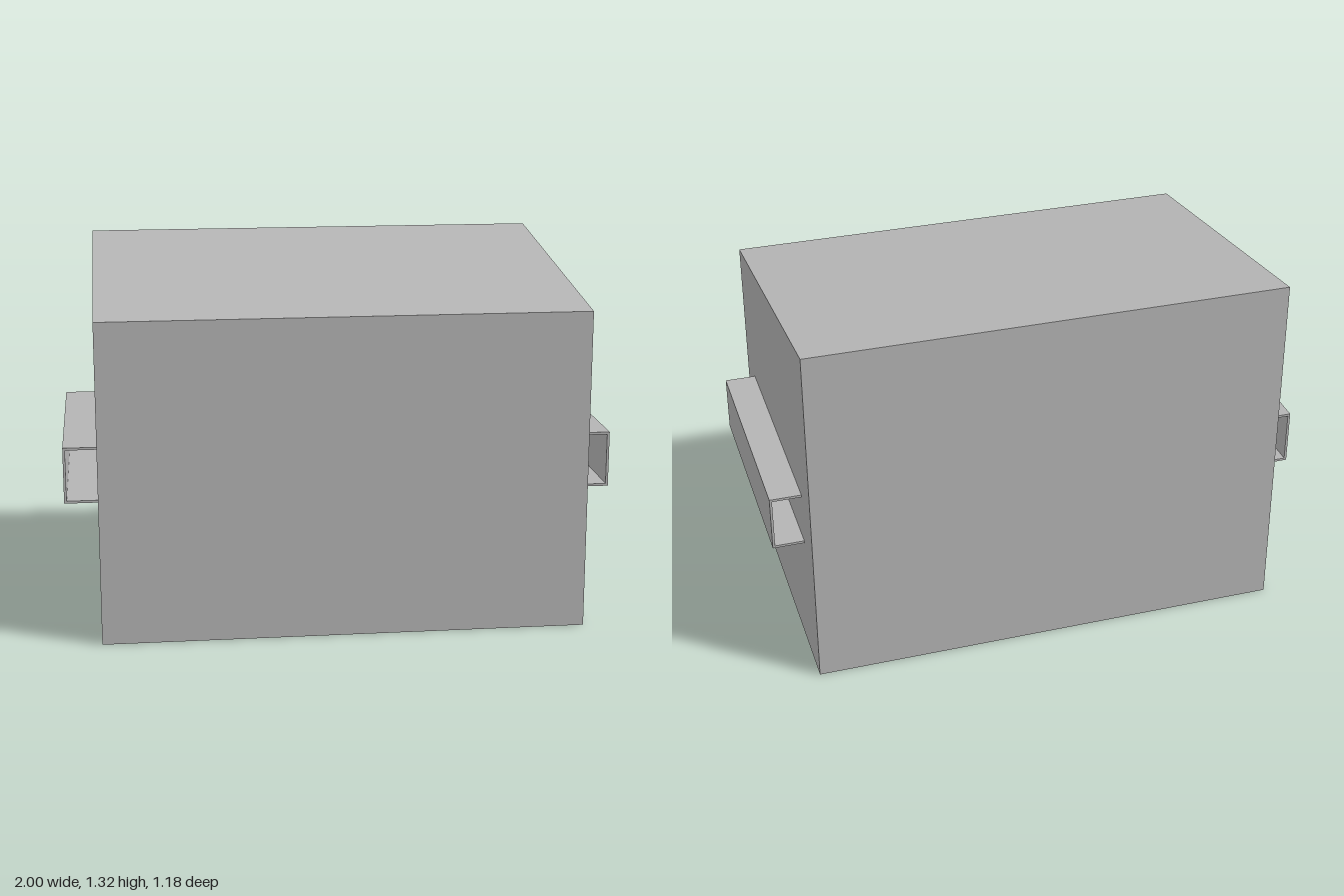
import * as THREE from 'three';

export function createModel() {
  const group = new THREE.Group();
  const grey = new THREE.MeshStandardMaterial({ color: 0xb4b4b4 });
  grey.name = 'grey';

  const bodyLeft = 0.885, bodyRight = -0.878;
  const depth = 1.176, frontHeight = 1.176, backHeight = 1.323;

  // Solid body with the top sloping down towards the front
  const bodyGeometry = new THREE.BoxGeometry(bodyLeft - bodyRight, 1, depth);
  bodyGeometry.translate((bodyLeft + bodyRight) / 2, 0.5, 0);
  const p = bodyGeometry.attributes.position;
  for (let i = 0; i < p.count; i++) {
    if (p.getY(i) > 0.5) p.setY(i, p.getZ(i) > 0 ? frontHeight : backHeight);
  }
  bodyGeometry.computeVertexNormals();
  const body = new THREE.Mesh(bodyGeometry, grey);
  body.name = 'body';
  group.add(body);

  // Channel-shaped side handle, open towards the body and at both ends
  const bottom = 0.488, top = 0.694, t = 0.009, length = 0.882;
  function addHandle(name, inner, outer) {
    const s = Math.sign(outer);
    const shape = new THREE.Shape([
      [inner, bottom], [outer, bottom], [outer, top], [inner, top],
      [inner, top - t], [outer - s * t, top - t],
      [outer - s * t, bottom + t], [inner, bottom + t],
    ].map(([x, y]) => new THREE.Vector2(x, y)));
    const geometry = new THREE.ExtrudeGeometry(shape, { depth: length, bevelEnabled: false });
    geometry.translate(0, 0, -length / 2);
    const handle = new THREE.Mesh(geometry, grey);
    handle.name = name;
    group.add(handle);
  }
  addHandle('leftHandle', bodyLeft, 1);
  addHandle('rightHandle', bodyRight, -1);

  return group;
}
